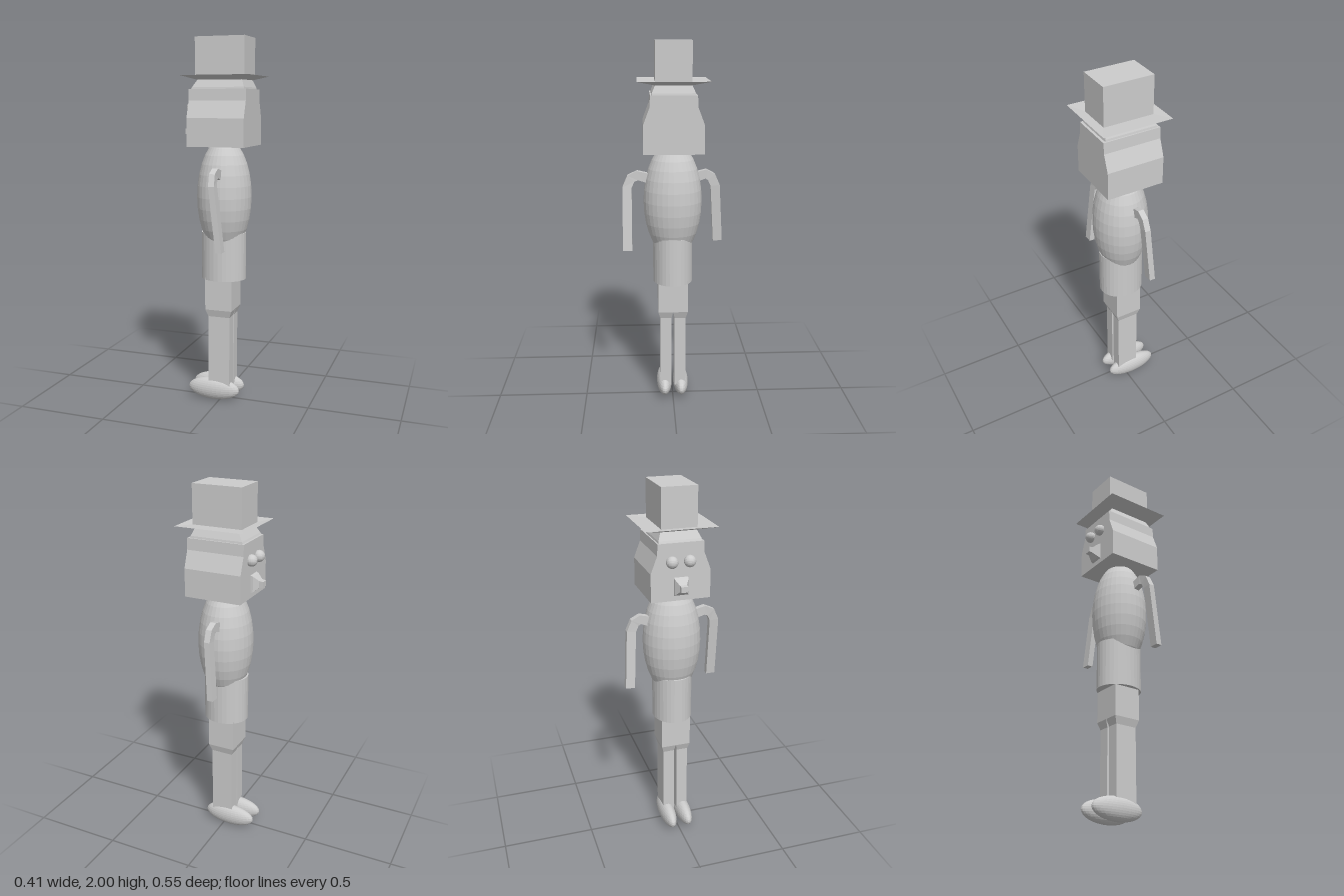
import * as THREE from 'three';

const V = (x, y, z) => new THREE.Vector3(x, y, z);
const material = new THREE.MeshStandardMaterial({ color: 0xcccccc, flatShading: true });

// Lofts capped four-sided rings; each section has centre c and half-axes u, v (u x v points along the loft).
function loft(sections) {
  const rings = sections.map(({ c, u, v }) =>
    [[-1, -1], [1, -1], [1, 1], [-1, 1]].map(([a, b]) => c.clone().addScaledVector(u, a).addScaledVector(v, b)));
  const out = [];
  const quad = (a, b, c, d) => [a, b, c, a, c, d].forEach(p => out.push(p.x, p.y, p.z));
  for (let i = 0; i + 1 < rings.length; i++) {
    for (let k = 0; k < 4; k++) {
      const n = (k + 1) % 4;
      quad(rings[i][k], rings[i][n], rings[i + 1][n], rings[i + 1][k]);
    }
  }
  quad(...[...rings[0]].reverse());
  quad(...rings[rings.length - 1]);
  const g = new THREE.BufferGeometry();
  g.setAttribute('position', new THREE.Float32BufferAttribute(out, 3));
  g.computeVertexNormals();
  return g;
}

// Upright loft from rows of [y, x min, x max, z min, z max]
const tower = rows => loft(rows.map(([y, x0, x1, z0, z1]) => ({
  c: V((x0 + x1) / 2, y, (z0 + z1) / 2), u: V(0, 0, (z1 - z0) / 2), v: V((x1 - x0) / 2, 0, 0),
})));

// Bent arm with a rectangular section swept along points
function arm(points) {
  return loft(points.map((p, i) => {
    const a = points[Math.max(i - 1, 0)], b = points[Math.min(i + 1, points.length - 1)];
    const t = b.clone().sub(a).setX(0).normalize();
    const x = V(1, 0, 0);
    return { c: p, u: x.clone().multiplyScalar(0.016), v: t.cross(x).multiplyScalar(0.025) };
  }));
}

export function createModel() {
  const model = new THREE.Group();
  const add = (name, geometry, pos = [0, 0, 0], scale = [1, 1, 1]) => {
    const mesh = new THREE.Mesh(geometry, material);
    mesh.name = name;
    mesh.position.set(...pos);
    mesh.scale.set(...scale);
    model.add(mesh);
  };
  const ball = (w, h) => new THREE.SphereGeometry(1, w, h);

  // Head with sloping cheeks
  add('head', tower([
    [1.43, -0.145, 0.17, -0.158, 0.158],
    [1.58, -0.145, 0.17, -0.158, 0.158],
    [1.67, -0.145, 0.17, -0.124, 0.124],
    [1.73, -0.145, 0.17, -0.121, 0.121],
  ]));

  // Hat: band, flared brim and crown
  add('hat', tower([
    [1.73, -0.135, 0.157, -0.114, 0.114],
    [1.74, -0.13, 0.155, -0.112, 0.112],
    [1.778, -0.106, 0.14, -0.095, 0.095],
    [1.8, -0.172, 0.205, -0.188, 0.188],
    [1.795, -0.12, 0.153, -0.094, 0.094],
    [2, -0.12, 0.153, -0.094, 0.094],
  ]));

  // Face looks along -x
  for (const z of [-0.049, 0.044]) add('eye', ball(20, 12), [-0.155, 1.635, z], [0.031, 0.031, 0.031]);
  add('nose', loft([[-0.14, 0.05, 0.038], [-0.158, 0.042, 0.036], [-0.186, 0.018, 0.019], [-0.207, 0.015, 0.018]]
    .map(([x, h, w]) => ({ c: V(x, 1.505, 0), u: V(0, 0, w), v: V(0, h, 0) }))));

  // Torso and hips
  add('torso', ball(32, 16), [0.012, 1.155, 0], [0.148, 0.32, 0.158]);
  add('hips', new THREE.CylinderGeometry(1, 1, 0.26, 32), [0.009, 0.83, 0], [0.124, 1, 0.108]);

  // Arms swing in opposite directions
  add('leftArm', arm([
    V(0.024, 1.27, 0.11), V(0.025, 1.288, 0.15), V(0.026, 1.298, 0.19), V(0.028, 1.282, 0.225),
    V(0.032, 1.235, 0.246), V(0.072, 0.893, 0.247),
  ]));
  add('rightArm', arm([
    V(-0.004, 1.27, -0.11), V(-0.004, 1.288, -0.145), V(-0.004, 1.298, -0.18), V(-0.003, 1.282, -0.21),
    V(-0.004, 1.235, -0.231), V(-0.028, 0.918, -0.25),
  ]));

  // Shorts block, then two separate legs and feet
  add('thighs', tower([[0.53, -0.072, 0.08, -0.082, 0.082], [0.71, -0.072, 0.08, -0.082, 0.082]]));
  for (const s of [-1, 1]) {
    const leg = (y, x0, x1, a, b) => [y, x0, x1, Math.min(s * a, s * b), Math.max(s * a, s * b)];
    add('leg', tower([
      leg(0.08, -0.058, 0.065, 0.008, 0.071),
      leg(0.49, -0.058, 0.065, 0.008, 0.071),
      leg(0.53, -0.072, 0.08, 0.001, 0.082),
    ]));
    add('foot', ball(32, 16), [-0.035, 0.063, s * 0.047], [0.149, 0.063, 0.043]);
  }
  return model;
}
